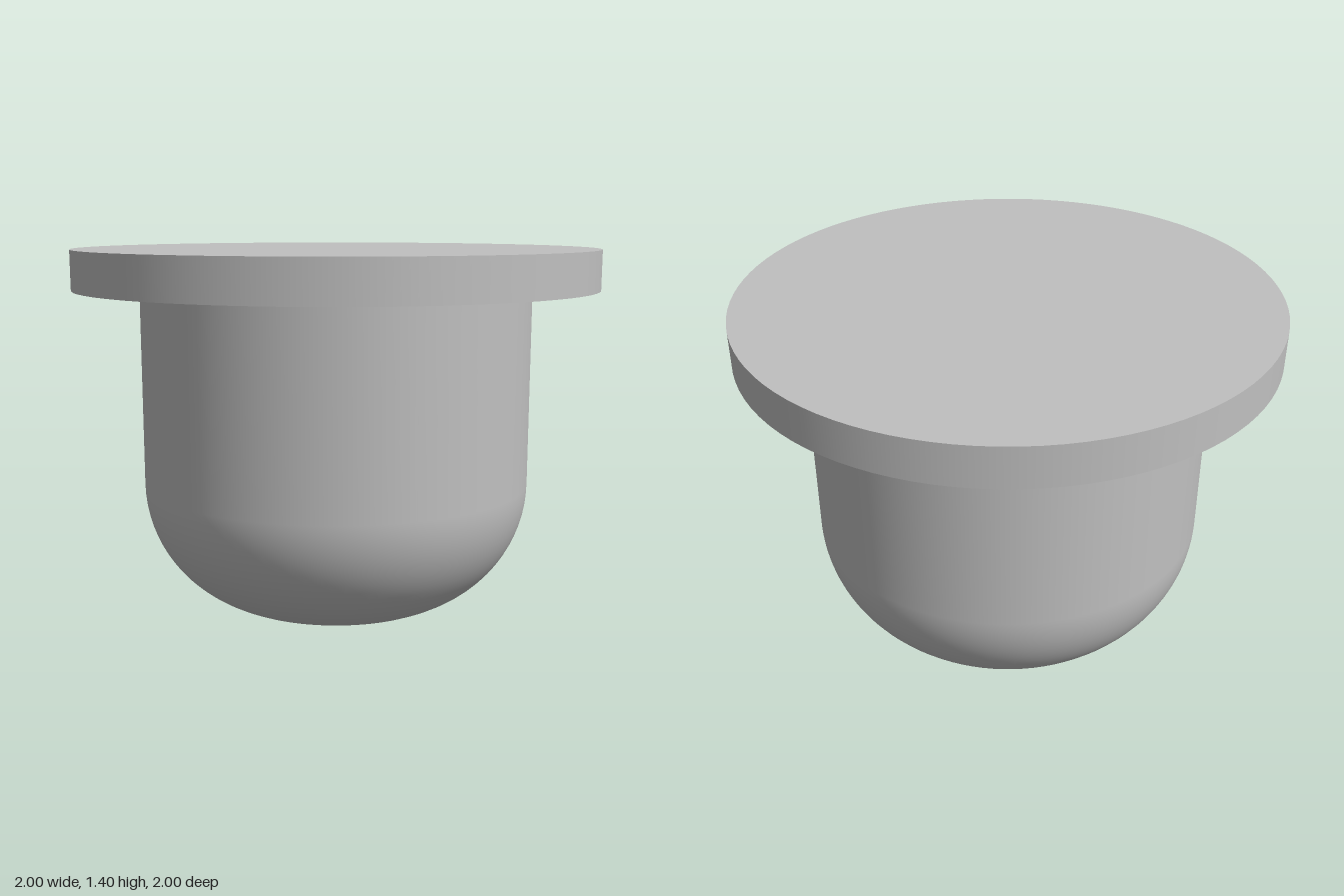
import * as THREE from 'three';

const SEGMENTS = 96;

export function createModel() {
  const model = new THREE.Group();
  model.name = 'flangedPlug';
  const grey = new THREE.MeshStandardMaterial({ color: 0xc0c0c0 });
  grey.name = 'light grey';

  const bodyRadius = 0.75, fillet = 0.5, flangeBottom = 1.25, flangeHeight = 0.15;

  // Body: flat base, quarter-round edge, straight wall
  const profile = [new THREE.Vector2(0, 0)];
  const steps = 20;
  for (let i = 0; i <= steps; i++) {
    const a = (i / steps) * Math.PI / 2;
    profile.push(new THREE.Vector2(
      bodyRadius - fillet + fillet * Math.sin(a),
      fillet - fillet * Math.cos(a)
    ));
  }
  profile.push(new THREE.Vector2(bodyRadius, flangeBottom));
  const body = new THREE.Mesh(new THREE.LatheGeometry(profile, SEGMENTS), grey);
  body.name = 'body';
  model.add(body);

  // Flange: wide flat disc on top
  const flange = new THREE.Mesh(new THREE.CylinderGeometry(1, 1, flangeHeight, SEGMENTS), grey);
  flange.name = 'flange';
  flange.position.y = flangeBottom + flangeHeight / 2;
  model.add(flange);

  return model;
}
